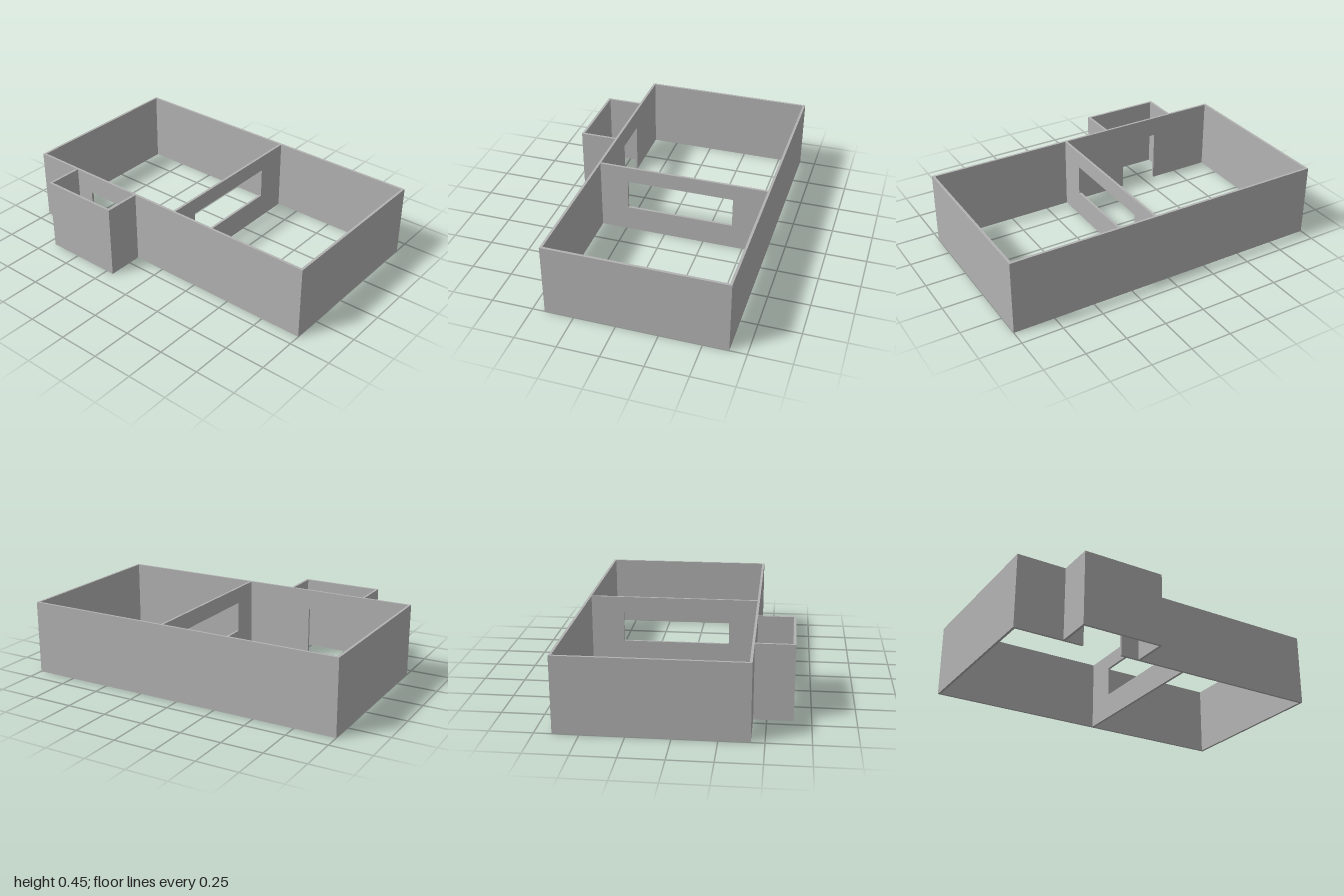
import * as THREE from 'three';

const H = 0.45; // wall height
const T = 0.015; // wall thickness

export function createModel() {
  const model = new THREE.Group();
  const wallGrey = new THREE.MeshStandardMaterial({ color: 0xb2b2b2 });

  // Plain wall filling a floor-plan rectangle
  function wall(name, x0, x1, z0, z1) {
    const mesh = new THREE.Mesh(new THREE.BoxGeometry(x1 - x0, H, z1 - z0), wallGrey);
    mesh.name = name;
    mesh.position.set((x0 + x1) / 2, H / 2, (z0 + z1) / 2);
    model.add(mesh);
  }

  const polygon = (pts) => pts.map(([x, y]) => new THREE.Vector2(x, y));
  function openedWall(name, shape) {
    const geometry = new THREE.ExtrudeGeometry(shape, { depth: T, bevelEnabled: false });
    const mesh = new THREE.Mesh(geometry, wallGrey);
    mesh.name = name;
    model.add(mesh);
    return mesh;
  }

  // Outer walls of the main building
  const back = -0.65, front = 0.425;
  wall('backWall', -1, 1, back, back + T);
  wall('rightWall', -1, -1 + T, back + T, front - T);
  wall('leftWall', 1 - T, 1, back + T, front - T);

  // Front wall with a doorway into the porch
  const doorL = -0.575, doorR = -0.33, doorTop = 0.325;
  const frontShape = new THREE.Shape(polygon([
    [-1, 0], [doorL, 0], [doorL, doorTop], [doorR, doorTop],
    [doorR, 0], [1, 0], [1, H], [-1, H],
  ]));
  openedWall('frontWall', frontShape).position.z = front - T;

  // Partition with a wide serving opening (shape x runs along -z)
  const partitionShape = new THREE.Shape(polygon([
    [-(front - T), 0], [-(back + T), 0], [-(back + T), H], [-(front - T), H],
  ]));
  partitionShape.holes.push(new THREE.Path(polygon([
    [-0.235, 0.16], [-0.235, 0.35], [0.43, 0.35], [0.43, 0.16],
  ])));
  const partition = openedWall('partitionWall', partitionShape);
  partition.rotation.y = Math.PI / 2;
  partition.position.x = 0.0875;

  // Porch projecting from the front
  wall('porchFrontWall', -0.7, -0.2, 0.65 - T, 0.65);
  wall('porchRightWall', -0.7, -0.7 + T, front, 0.65 - T);
  wall('porchLeftWall', -0.2 - T, -0.2, front, 0.65 - T);

  return model;
}
